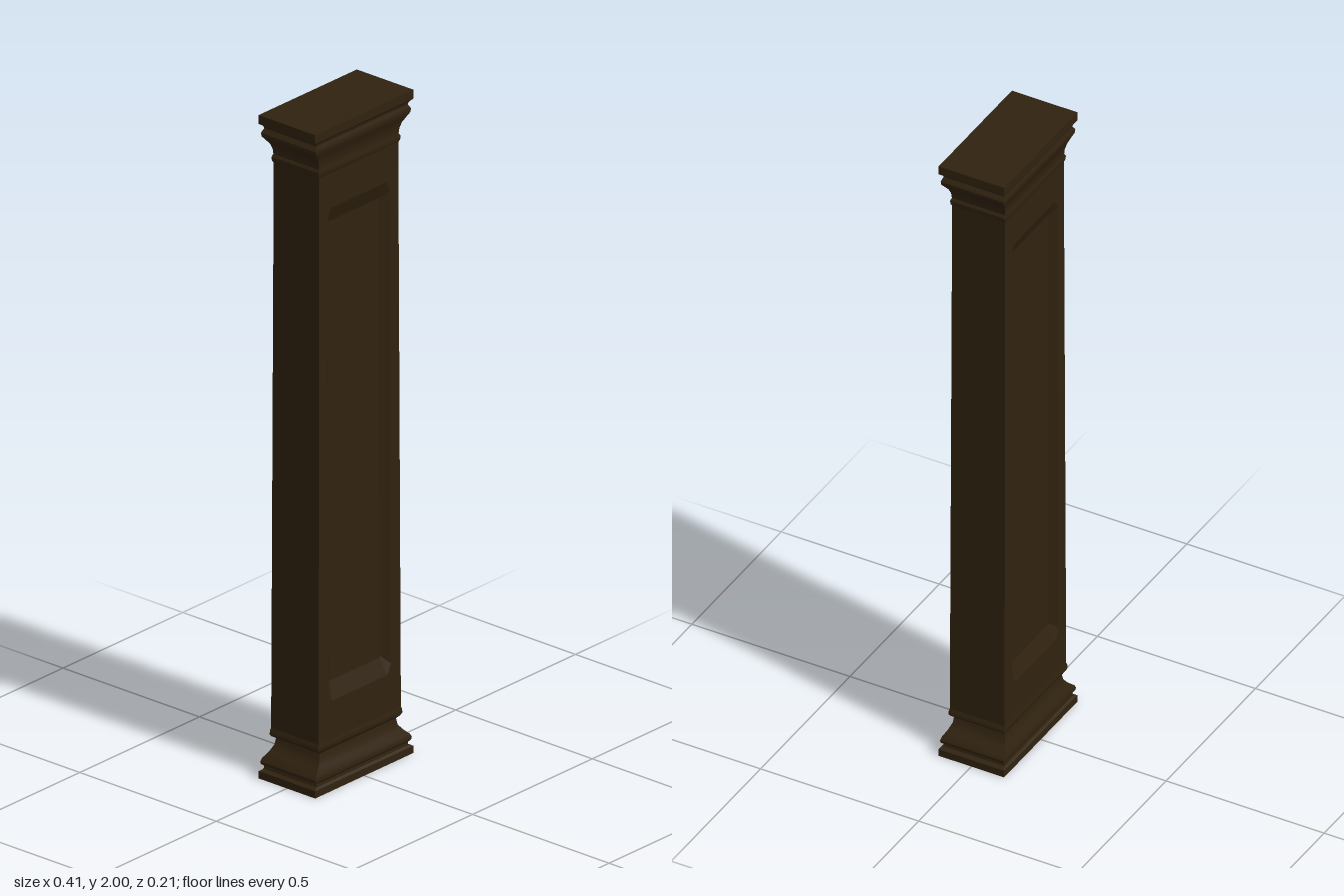
import * as THREE from 'three';
import { toCreasedNormals } from 'three/addons/utils/BufferGeometryUtils.js';

const DEPTH = 0.505; // depth of every cross-section relative to its width
const Y0 = 0.14, Y1 = 1.86;
const halfWidth = (y) => 0.172 - 0.007 * (y - Y0) / (Y1 - Y0); // tapered shaft
const onFace = (x, y, inset = 0) => [x, y, halfWidth(y) * DEPTH - inset];

// Quads between two matching rows of points
function strip(a, b) {
  const pos = [];
  for (let i = 0; i < a.length - 1; i++) {
    pos.push(...a[i], ...a[i + 1], ...b[i + 1], ...a[i], ...b[i + 1], ...b[i]);
  }
  const geo = new THREE.BufferGeometry();
  geo.setAttribute('position', new THREE.Float32BufferAttribute(pos, 3));
  geo.computeVertexNormals();
  return geo;
}

// Flat shape laid on the tapered face of the shaft
function faceShape(shape, inset) {
  const geo = new THREE.ShapeGeometry(shape);
  const p = geo.attributes.position;
  for (let i = 0; i < p.count; i++) p.setXYZ(i, ...onFace(p.getX(i), p.getY(i), inset));
  geo.computeVertexNormals();
  return geo;
}

// Rectangle with clipped corners, counter-clockwise
function outline(w, lo, hi, cx, cy) {
  return [
    [w - cx, lo], [w, lo + cy], [w, hi - cy], [w - cx, hi],
    [cx - w, hi], [-w, hi - cy], [-w, lo + cy], [cx - w, lo],
  ];
}
const toPoints = (list) => list.map(([x, y]) => new THREE.Vector2(x, y));

// Moulding with a rectangular plan, from a half-width / height profile
function moulding(profile) {
  const pts = toPoints(profile.map(([r, y]) => [r * Math.SQRT2, y]));
  const geo = new THREE.LatheGeometry(pts, 4, Math.PI / 4);
  geo.scale(1, 1, DEPTH);
  return toCreasedNormals(geo, 0.5);
}

export function createModel() {
  const group = new THREE.Group();
  const wood = new THREE.MeshStandardMaterial({ color: 0x30220f });
  wood.name = 'dark wood';
  const add = (name, geo, parent = group) => {
    const mesh = new THREE.Mesh(geo, wood);
    mesh.name = name;
    parent.add(mesh);
  };

  // Base and capital
  add('base', moulding([
    [0, 0], [0.205, 0], [0.205, 0.022], [0.192, 0.027], [0.19, 0.036],
    [0.199, 0.042], [0.201, 0.05], [0.196, 0.06], [0.176, 0.078],
    [0.163, 0.095], [0.159, 0.114], [0.17, 0.12], [0.176, 0.128],
    [0.175, 0.14], [0.171, 0.148],
  ]));
  add('capital', moulding([
    [0.165, 1.85], [0.17, 1.856], [0.171, 1.868], [0.166, 1.876],
    [0.168, 1.892], [0.175, 1.908], [0.188, 1.924], [0.197, 1.934],
    [0.199, 1.945], [0.194, 1.953], [0.19, 1.958], [0.193, 1.966],
    [0.205, 1.973], [0.205, 2], [0, 2],
  ]));

  // Shaft: front and back faces with a recessed bevelled panel, plus sides
  const outer = outline(0.131, 0.26, 1.745, 0.016, 0.03);
  const inner = outline(0.108, 0.31, 1.695, 0.002, 0.004);
  const frame = new THREE.Shape(toPoints([
    [-halfWidth(Y0), Y0], [halfWidth(Y0), Y0], [halfWidth(Y1), Y1], [-halfWidth(Y1), Y1],
  ]));
  frame.holes.push(new THREE.Path(toPoints(outer)));
  const loop = (list, inset) => [...list, list[0]].map(([x, y]) => onFace(x, y, inset));
  const edge = (y) => [1, -1].map((s) => [halfWidth(y), y, s * halfWidth(y) * DEPTH]);

  for (const side of ['front', 'back']) {
    const half = new THREE.Group();
    half.name = side + 'ShaftHalf';
    half.rotation.y = side === 'front' ? 0 : Math.PI;
    add('panelFrame', faceShape(frame, 0), half);
    add('panelBevel', strip(loop(outer, 0), loop(inner, 0.02)), half);
    add('panelFloor', faceShape(new THREE.Shape(toPoints(inner)), 0.02), half);
    add('shaftSide', strip(edge(Y0), edge(Y1)), half);
    group.add(half);
  }
  return group;
}
